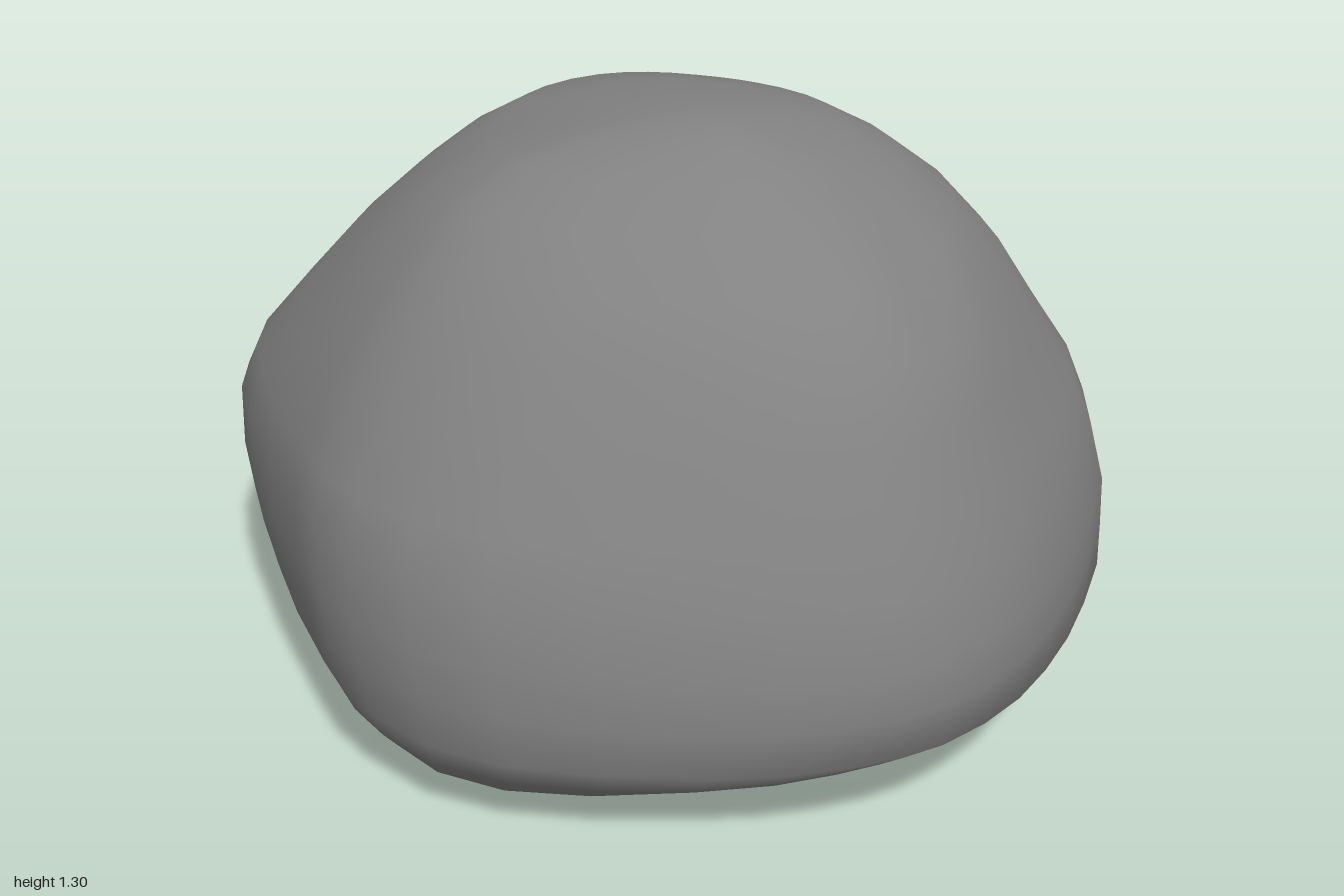
import * as THREE from 'three';

// Plan outline (x, z), starting at the front and running round by the left side
const PLAN = [
  [0, 1], [0.2, 0.96], [0.4, 0.86], [0.62, 0.7], [0.84, 0.48], [0.93, 0.18], [0.93, -0.08],
  [0.9, -0.38], [0.86, -0.58], [0.74, -0.77], [0.54, -0.95], [0.3, -1], [0, -0.97], [-0.3, -0.98],
  [-0.47, -0.98], [-0.69, -0.86], [-0.82, -0.68], [-0.89, -0.4], [-0.94, 0], [-0.94, 0.2],
  [-0.85, 0.48], [-0.62, 0.72], [-0.36, 0.9], [-0.15, 0.98],
];

// Levels from the base up: height, half width, front z, back z
const LEVELS = [
  [0.005, 0.32, 0.12, -0.36], [0.02, 0.66, 0.34, -0.48], [0.05, 0.77, 0.59, -0.57],
  [0.1, 0.85, 0.8, -0.69], [0.16, 0.9, 0.92, -0.79], [0.23, 0.93, 0.995, -0.86],
  [0.33, 0.94, 1, -0.935], [0.44, 0.945, 0.995, -0.97], [0.57, 0.93, 0.95, -1],
  [0.68, 0.9, 0.905, -0.98], [0.82, 0.82, 0.84, -0.92], [0.96, 0.73, 0.77, -0.83],
  [1.08, 0.62, 0.65, -0.72], [1.16, 0.52, 0.5, -0.63], [1.225, 0.4, 0.37, -0.52],
  [1.265, 0.25, 0.26, -0.32], [1.288, 0.11, 0.18, -0.13],
];

// Soft hollows and swellings: centre, radius, then the push
const DENTS = [
  { at: [0, 0.06, 0.65], radius: 0.45, push: [0, 0.04, 0] },
  { at: [-0.06, 0.25, -0.88], radius: 0.36, push: [0, 0.02, 0.06] },
  { at: [0.85, 0.55, 0.12], radius: 0.25, push: [0.015, 0, 0.01] },
  { at: [0.6, 0.95, -0.55], radius: 0.4, push: [-0.03, -0.02, 0.03] },
  { at: [-0.32, 1.2, -0.36], radius: 0.35, push: [0.01, -0.03, 0.01] },
  { at: [0.2, 1.12, 0.6], radius: 0.14, push: [0, -0.02, -0.02] },
];

const SIDES = 40;

function boulderGeometry() {
  const { lerp, smoothstep } = THREE.MathUtils;
  const outline = new THREE.CatmullRomCurve3(PLAN.map(([x, z]) => new THREE.Vector3(x, 0, z)), true);
  const positions = [];
  const index = [];

  for (const [y, width, front, back] of LEVELS) {
    // Sections grow rounder towards the crown and squarer towards the base
    const round = 0.75 * smoothstep(y, 0.5, 1.15);
    const square = 0.08 * (1 - smoothstep(y, 0.03, 0.2)) - 0.05 * smoothstep(y, 0.55, 0.95);
    for (let j = 0; j < SIDES; j++) {
      const p = outline.getPoint(j / SIDES);
      const a = Math.atan2(p.x, p.z);
      const swell = 1 + square * Math.sin(2 * a) ** 2;
      const px = swell * lerp(p.x / 0.94, Math.sin(a), round);
      const pz = swell * lerp(p.z, Math.cos(a), round);
      const v = new THREE.Vector3(px * width, y, (front + back) / 2 + pz * (front - back) / 2);
      const start = v.clone();
      for (const { at, radius, push } of DENTS) {
        const d = start.distanceTo(new THREE.Vector3(...at)) / radius;
        v.addScaledVector(new THREE.Vector3(...push), Math.exp(-d * d * 2));
      }
      positions.push(v.x, v.y, v.z);
    }
  }

  // Side skin
  for (let i = 0; i < LEVELS.length - 1; i++) {
    for (let j = 0; j < SIDES; j++) {
      const k = (j + 1) % SIDES;
      const a = i * SIDES + j, b = i * SIDES + k;
      index.push(a, b, b + SIDES, a, b + SIDES, a + SIDES);
    }
  }

  // Base and crown caps
  const base = positions.length / 3;
  positions.push(0, 0, -0.12, 0, 1.3, 0.08);
  const last = (LEVELS.length - 1) * SIDES;
  for (let j = 0; j < SIDES; j++) {
    const k = (j + 1) % SIDES;
    index.push(k, j, base, last + j, last + k, base + 1);
  }

  const geometry = new THREE.BufferGeometry();
  geometry.setAttribute('position', new THREE.Float32BufferAttribute(positions, 3));
  geometry.setIndex(index);
  geometry.computeVertexNormals();
  return geometry;
}

export function createModel() {
  const group = new THREE.Group();
  group.name = 'rock';
  const boulder = new THREE.Mesh(
    boulderGeometry(),
    new THREE.MeshStandardMaterial({ color: 0x828282 }),
  );
  boulder.name = 'boulder';
  group.add(boulder);
  return group;
}
